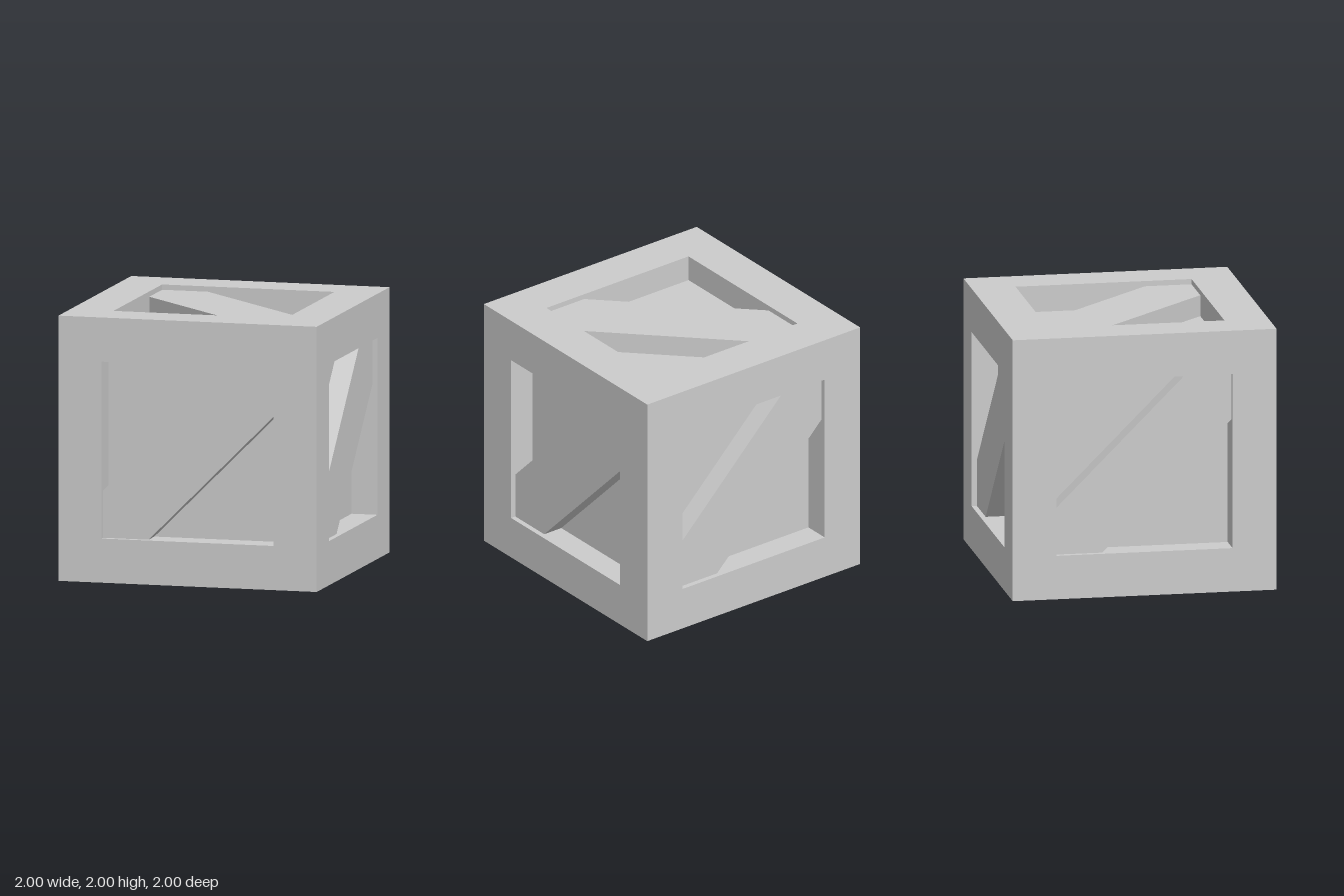
import * as THREE from 'three';

const HALF = 1;        // half the crate's side
const OPEN = 0.667;    // half the opening in each frame
const RECESS = 0.2;    // depth of the panels behind the frames
const PLANK_GAP = 0.04; // depth of the planks behind the frames
const PLANK_CUT = 0.313; // where the plank's edges meet the opening

const material = new THREE.MeshStandardMaterial({ color: 0xcccccc, flatShading: true });

function polygon(points, Type = THREE.Shape) {
  return new Type(points.map(([x, y]) => new THREE.Vector2(x, y)));
}

function square(h, Type) {
  return polygon([[-h, -h], [h, -h], [h, h], [-h, h]], Type);
}

// Square frame with its outer edge mitred at 45 degrees, so six of them close into a cube
function frameGeometry() {
  const shape = square(HALF);
  shape.holes.push(square(OPEN, THREE.Path));
  const geometry = new THREE.ExtrudeGeometry(shape, { depth: RECESS, bevelEnabled: false });
  geometry.translate(0, 0, HALF - RECESS);
  const p = geometry.attributes.position;
  for (let i = 0; i < p.count; i++) {
    if (Math.abs(p.getX(i)) < HALF - 0.01) continue;
    p.setXY(i, Math.sign(p.getX(i)) * p.getZ(i), Math.sign(p.getY(i)) * p.getZ(i));
  }
  geometry.computeVertexNormals();
  return geometry;
}

// Diagonal plank, its ends cut to fit two corners of the opening
function plankGeometry() {
  const a = OPEN, b = PLANK_CUT;
  const shape = polygon([[-a, -a], [-b, -a], [a, b], [a, a], [b, a], [-a, -b]]);
  const geometry = new THREE.ExtrudeGeometry(shape, { depth: RECESS - PLANK_GAP, bevelEnabled: false });
  return geometry.translate(0, 0, HALF - RECESS);
}

export function createModel() {
  const crate = new THREE.Group();
  crate.name = 'crate';
  const frame = frameGeometry();
  const plank = plankGeometry();

  // Inner box whose faces are the six recessed panels
  const side = 2 * (HALF - RECESS);
  const panels = new THREE.Mesh(new THREE.BoxGeometry(side, side, side), material);
  panels.name = 'panels';
  panels.position.y = HALF;
  crate.add(panels);

  // Name, turn about x, turn about y, turn of the plank in its own plane
  const q = Math.PI / 2;
  const sides = [
    ['front', 0, 0, 0],
    ['left', 0, q, 0],
    ['back', 0, 2 * q, 0],
    ['right', 0, -q, 0],
    ['top', -q, 0, q],
    ['bottom', q, 0, q],
  ];
  for (const [name, rx, ry, twist] of sides) {
    const group = new THREE.Group();
    group.name = name + 'Side';
    group.position.y = HALF;
    group.rotation.set(rx, ry, 0);

    const frameMesh = new THREE.Mesh(frame, material);
    frameMesh.name = name + 'Frame';
    const plankMesh = new THREE.Mesh(plank, material);
    plankMesh.name = name + 'Plank';
    plankMesh.rotation.z = twist;

    group.add(frameMesh, plankMesh);
    crate.add(group);
  }
  return crate;
}
